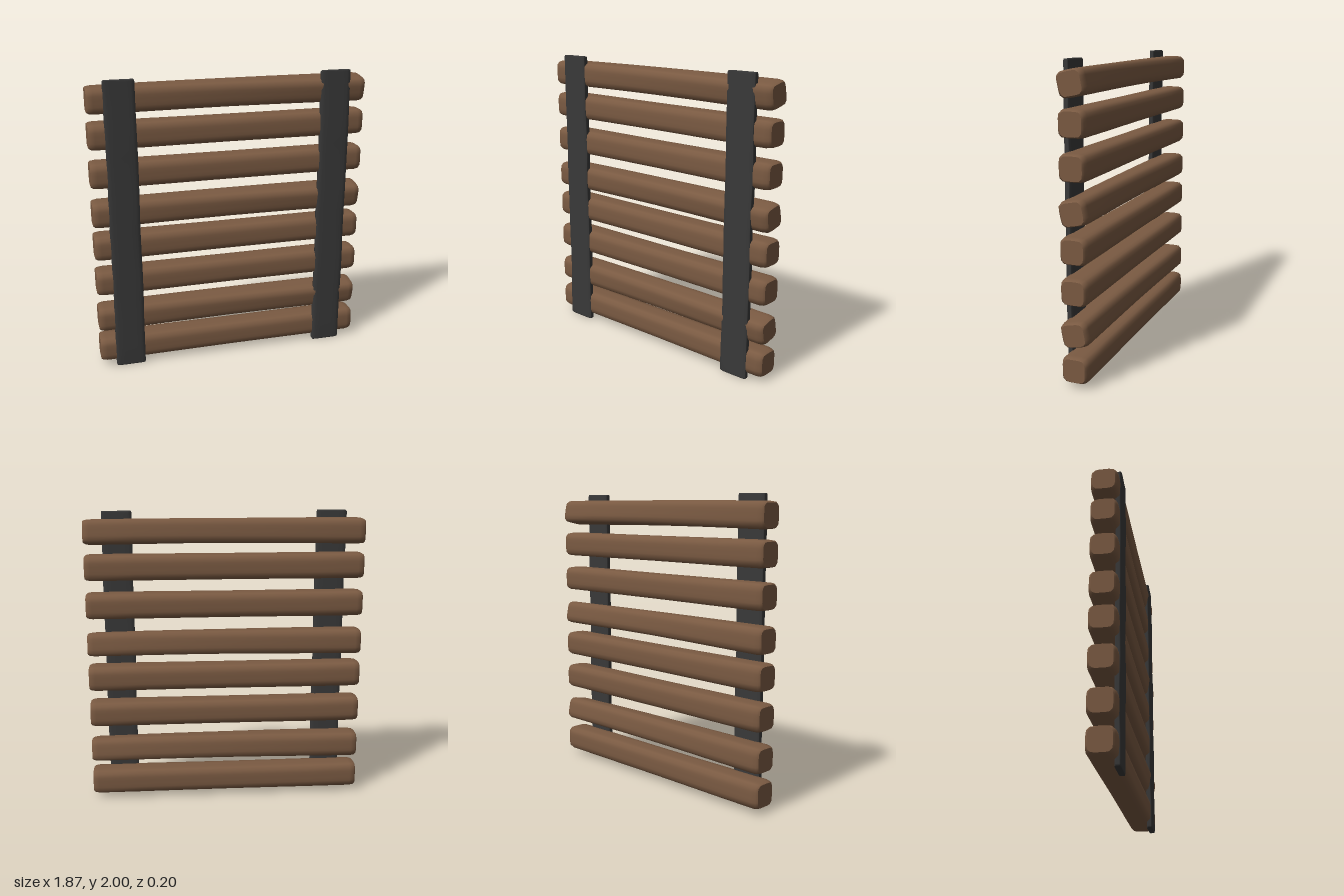
import * as THREE from 'three';

const SIDES = 24;

// Skins a rounded-rectangle section along x; each station is {x, y, z, h, w, roll}
function loft(stations, power) {
  const pos = [], idx = [];
  const ring = (s) => {
    for (let i = 0; i < SIDES; i++) {
      const a = ((i + 0.5) / SIDES) * Math.PI * 2;
      const c = Math.cos(a), d = Math.sin(a);
      const r = Math.pow(Math.abs(c) ** power + Math.abs(d) ** power, -1 / power);
      const y = c * r * s.h, z = d * r * s.w;
      const cr = Math.cos(s.roll), sr = Math.sin(s.roll);
      pos.push(s.x, s.y + y * cr - z * sr, s.z + y * sr + z * cr);
    }
  };
  stations.forEach(ring);
  for (let j = 0; j < stations.length - 1; j++) {
    for (let i = 0; i < SIDES; i++) {
      const a = j * SIDES + i, b = j * SIDES + ((i + 1) % SIDES);
      idx.push(a, b, a + SIDES, b, b + SIDES, a + SIDES);
    }
  }
  // End caps with their own vertices, so the rim stays crisp
  [stations[0], stations[stations.length - 1]].forEach((s, end) => {
    const base = pos.length / 3;
    ring(s);
    pos.push(s.x, s.y, s.z);
    for (let i = 0; i < SIDES; i++) {
      const a = base + i, b = base + ((i + 1) % SIDES), c = base + SIDES;
      if (end) idx.push(c, a, b);
      else idx.push(c, b, a);
    }
  });
  const geo = new THREE.BufferGeometry();
  geo.setAttribute('position', new THREE.Float32BufferAttribute(pos, 3));
  geo.setIndex(idx);
  geo.computeVertexNormals();
  return geo;
}

// Log: softly squared beam, pinched a little in the middle, bevelled at both ends
function logGeometry(twist) {
  const xs = [-0.937, -0.925, -0.895, -0.6, -0.3, 0, 0.3, 0.6, 0.895, 0.925, 0.937];
  const taper = [0.8, 0.93, 1, 1, 0.985, 0.975, 0.985, 1, 1, 0.92, 0.78];
  return loft(xs.map((x, i) => {
    const t = (x + 0.937) / 1.874;
    return {
      x,
      y: twist ? 0.006 * Math.sin(t * Math.PI) : 0,
      z: -0.005,
      h: 0.085 * (twist ? 1 - 0.05 * t : 1) * (taper[i] * 0.6 + 0.4),
      w: 0.09 * taper[i],
      roll: twist * t,
    };
  }), 5);
}

// Strap: long thin board with a slightly uneven face
function strapGeometry() {
  const stations = [];
  for (let i = 0; i <= 12; i++) {
    const end = i === 0 || i === 12;
    stations.push({
      x: -1 + i / 6, y: 0.002 * Math.sin(i * 1.3), z: 0.002 * Math.sin(i * 2.1),
      h: end ? 0.096 : 0.101, w: end ? 0.018 : 0.021, roll: 0.02 * Math.sin(i * 1.7),
    });
  }
  // Narrow bevel at each tip
  stations.splice(1, 0, { ...stations[1], x: -0.99 });
  stations.splice(-1, 0, { ...stations[stations.length - 2], x: 0.99 });
  const geo = loft(stations, 12);
  geo.rotateZ(Math.PI / 2);
  return geo;
}

export function createModel() {
  const model = new THREE.Group();
  model.name = 'logPanel';
  const wood = new THREE.MeshStandardMaterial({ color: 0x7a5a42 });
  wood.name = 'brown wood';
  const iron = new THREE.MeshStandardMaterial({ color: 0x393939 });
  iron.name = 'dark iron';

  // Eight stacked logs, every third one twisted
  const straight = logGeometry(0), twisted = logGeometry(0.2);
  [0.12, 0.35, 0.62, 0.876, 1.108, 1.378, 1.636, 1.868].forEach((y, i) => {
    const log = new THREE.Mesh(i % 3 === 1 ? twisted : straight, wood);
    log.name = `log${i + 1}`;
    log.position.y = y;
    model.add(log);
  });

  // Two upright straps across the front
  const strap = strapGeometry();
  [['rightStrap', -0.731], ['leftStrap', 0.723]].forEach(([name, x]) => {
    const mesh = new THREE.Mesh(strap, iron);
    mesh.name = name;
    mesh.position.set(x, 1, 0.073);
    model.add(mesh);
  });
  return model;
}
